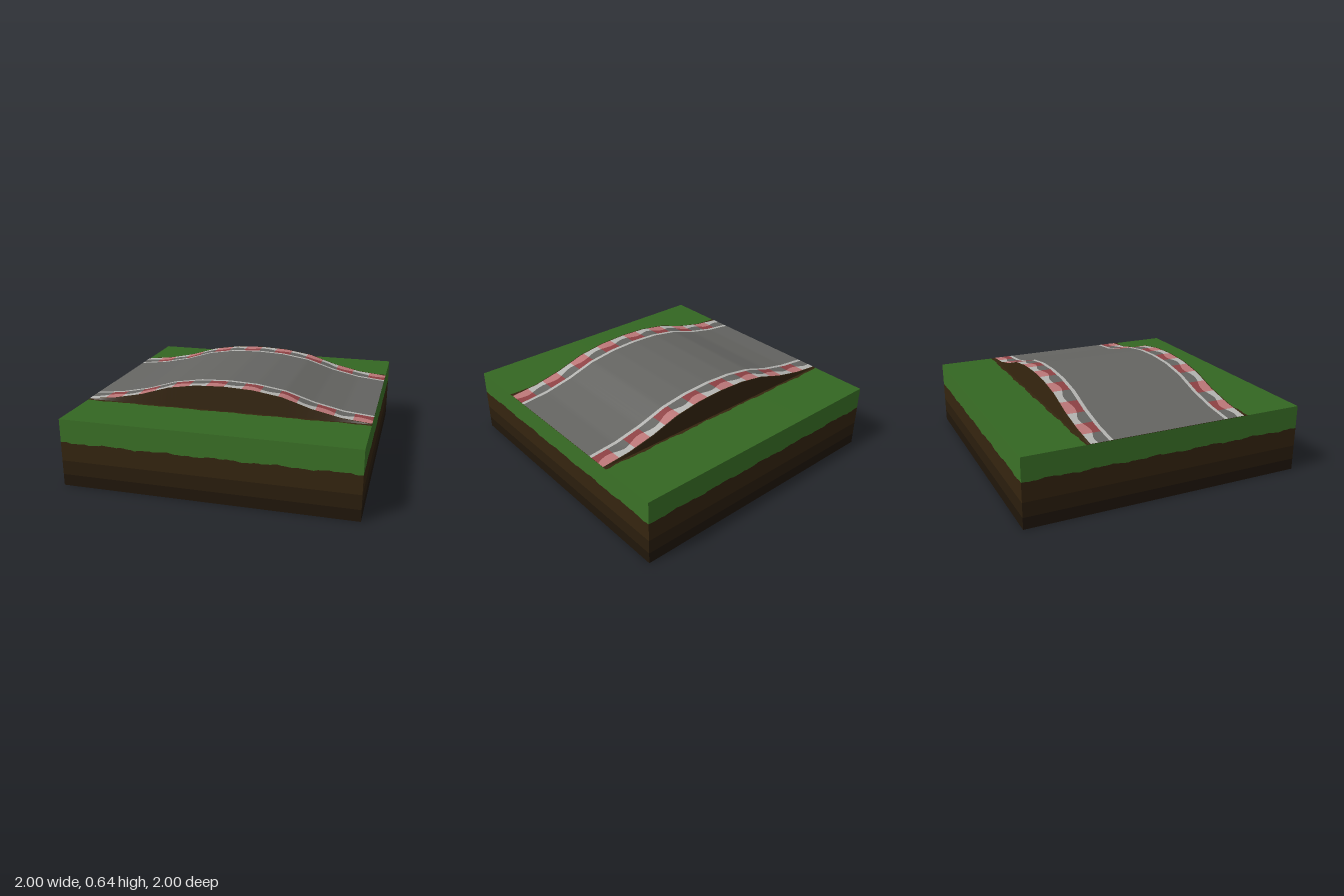
import * as THREE from 'three';

const mat = (name, color) => {
  const m = new THREE.MeshStandardMaterial({ color });
  m.name = name;
  return m;
};

export function createModel() {
  const road = mat('asphalt grey', 0x656562);
  const white = mat('kerb white', 0xb4b4b1);
  const redDark = mat('kerb dark red', 0x8e4144);
  const redLight = mat('kerb light red', 0xbc7778);
  const grassTop = mat('grass top green', 0x346722);
  const grassSide = mat('grass side green', 0x3b7227);
  const soilTop = mat('soil brown', 0x35250f);
  const soilMid = mat('soil dark brown', 0x2b1e0d);
  const soilLow = mat('soil deep brown', 0x20160a);
  const under = mat('underside grey', 0x555555);

  const group = new THREE.Group();
  const GROUND = 0.475, STEP = 0.025;

  // Ramp height: straight pieces between points 0.2 apart
  const heights = [0.477, 0.5, 0.542, 0.605, 0.637, 0.645, 0.636, 0.605, 0.541, 0.497, 0.477];
  const ramp = (x) => {
    const t = THREE.MathUtils.clamp((x + 1) * 5, 0, 10);
    const i = Math.min(9, Math.floor(t + 1e-6));
    return THREE.MathUtils.lerp(heights[i], heights[i + 1], t - i);
  };
  // Ragged edge of soil against grass
  const ragged = (x, seed) =>
    0.004 * Math.sin(17 * x + seed) + 0.003 * Math.sin(43 * x + 2 * seed) + 0.002 * Math.sin(97 * x + seed);

  // Strip between two edges running along x; each edge maps x to [y, z]
  const ribbon = (name, material, x0, x1, edgeA, edgeB, flip = false, parent = group) => {
    const n = Math.max(1, Math.round((x1 - x0) / STEP));
    const pos = [], idx = [];
    for (let i = 0; i <= n; i++) {
      const x = x0 + ((x1 - x0) * i) / n;
      pos.push(x, ...edgeA(x), x, ...edgeB(x));
      if (i < n) {
        const a = 2 * i, b = a + 1, c = a + 2, d = a + 3;
        idx.push(...(flip ? [a, d, c, a, b, d] : [a, c, d, a, d, b]));
      }
    }
    const g = new THREE.BufferGeometry();
    g.setAttribute('position', new THREE.Float32BufferAttribute(pos, 3));
    g.setIndex(idx);
    g.computeVertexNormals();
    const m = new THREE.Mesh(g, material);
    m.name = name;
    parent.add(m);
  };

  // Four sides of the block, banded from deep soil up to grass
  for (let k = 0; k < 4; k++) {
    const side = new THREE.Group();
    side.name = 'blockSide';
    side.rotation.y = (k * Math.PI) / 2;
    group.add(side);
    const level = (y) => () => [y, 1];
    const turf = (x) => [0.312 + (1 - x * x > 0.01 ? ragged(x, k) : 0), 1];
    ribbon('deepSoil', soilLow, -1, 1, level(0), level(0.08), false, side);
    ribbon('middleSoil', soilMid, -1, 1, level(0.08), level(0.18), false, side);
    ribbon('upperSoil', soilTop, -1, 1, level(0.18), turf, false, side);
    ribbon('grassBand', grassSide, -1, 1, turf, level(GROUND), false, side);
  }

  // Underside
  const bottom = new THREE.Mesh(new THREE.PlaneGeometry(2, 2), under);
  bottom.name = 'underside';
  bottom.rotation.x = Math.PI / 2;
  group.add(bottom);

  // Road surface over the ramp
  ribbon('road', road, -1, 1, (x) => [ramp(x), 0.405], (x) => [ramp(x), -0.405]);

  // Both verges, mirrored in z
  for (const s of [1, -1]) {
    const flip = s < 0;
    const onRamp = (z) => (x) => [ramp(x), s * z];
    const onGround = (z) => () => [GROUND, s * z];
    const soilEdge = (x) => [GROUND, s * (0.586 + ragged(x, s + 3))];
    const wave = (x) => [ramp(x), s * (0.495 + 0.015 * Math.sin(8 * Math.PI * x + 0.5))];

    ribbon('grass', grassTop, -1, 1, onGround(1), soilEdge, flip);
    ribbon('soilFringe', soilTop, -1, 1, soilEdge, onGround(0.568), flip);
    ribbon('rampWall', soilTop, -1, 1, onGround(0.568), onRamp(0.562), flip);
    ribbon('rampRim', soilTop, -1, 1, onRamp(0.562), onRamp(0.556), flip);
    ribbon('edgeLine', white, -1, 1, onRamp(0.431), onRamp(0.405), flip);

    // Kerb blocks: pale outer part, darker inner part
    for (let i = 0; i < 16; i++) {
      const x0 = -1 + i * 0.125, x1 = x0 + 0.125, red = i % 2 === 1;
      ribbon('kerbOuter', red ? redLight : white, x0, x1, onRamp(0.556), wave, flip);
      ribbon('kerbInner', red ? redDark : road, x0, x1, wave, onRamp(0.431), flip);
    }
  }

  // Low end faces closing the ramp
  for (const s of [1, -1]) {
    const end = new THREE.Mesh(new THREE.PlaneGeometry(1.13, 0.002), soilTop);
    end.name = 'rampEnd';
    end.position.set(s, GROUND + 0.001, 0);
    end.rotation.y = (s * Math.PI) / 2;
    group.add(end);
  }
  return group;
}
